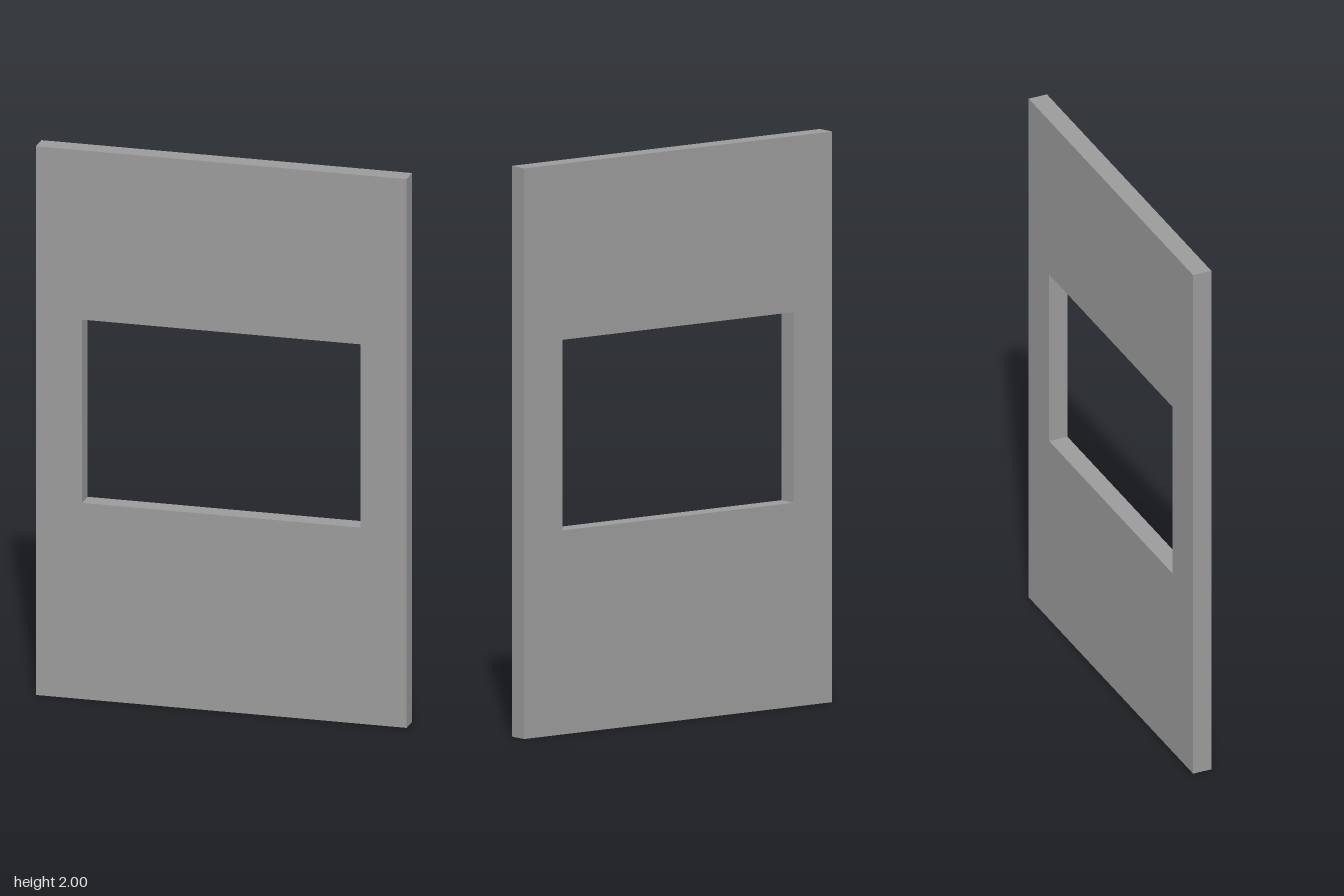
import * as THREE from 'three';

const WIDTH = 1.333, HEIGHT = 2, DEPTH = 0.07;
const HOLE = { width: 1, bottom: 0.715, top: 1.383 };

// Rectangle centred on x = 0, as four corners
function rectangle(PathType, width, bottom, top) {
  const h = width / 2;
  const path = new PathType();
  path.moveTo(-h, bottom);
  path.lineTo(h, bottom);
  path.lineTo(h, top);
  path.lineTo(-h, top);
  path.closePath();
  return path;
}

export function createModel() {
  const group = new THREE.Group();
  group.name = 'wallPanel';

  // Flat panel with a rectangular window opening
  const outline = rectangle(THREE.Shape, WIDTH, 0, HEIGHT);
  outline.holes.push(rectangle(THREE.Path, HOLE.width, HOLE.bottom, HOLE.top));
  const geometry = new THREE.ExtrudeGeometry(outline, { depth: DEPTH, bevelEnabled: false });
  geometry.translate(0, 0, -DEPTH / 2);

  const panel = new THREE.Mesh(geometry, new THREE.MeshStandardMaterial({ color: 0x9b9b9b }));
  panel.name = 'panelWithOpening';
  group.add(panel);
  return group;
}
